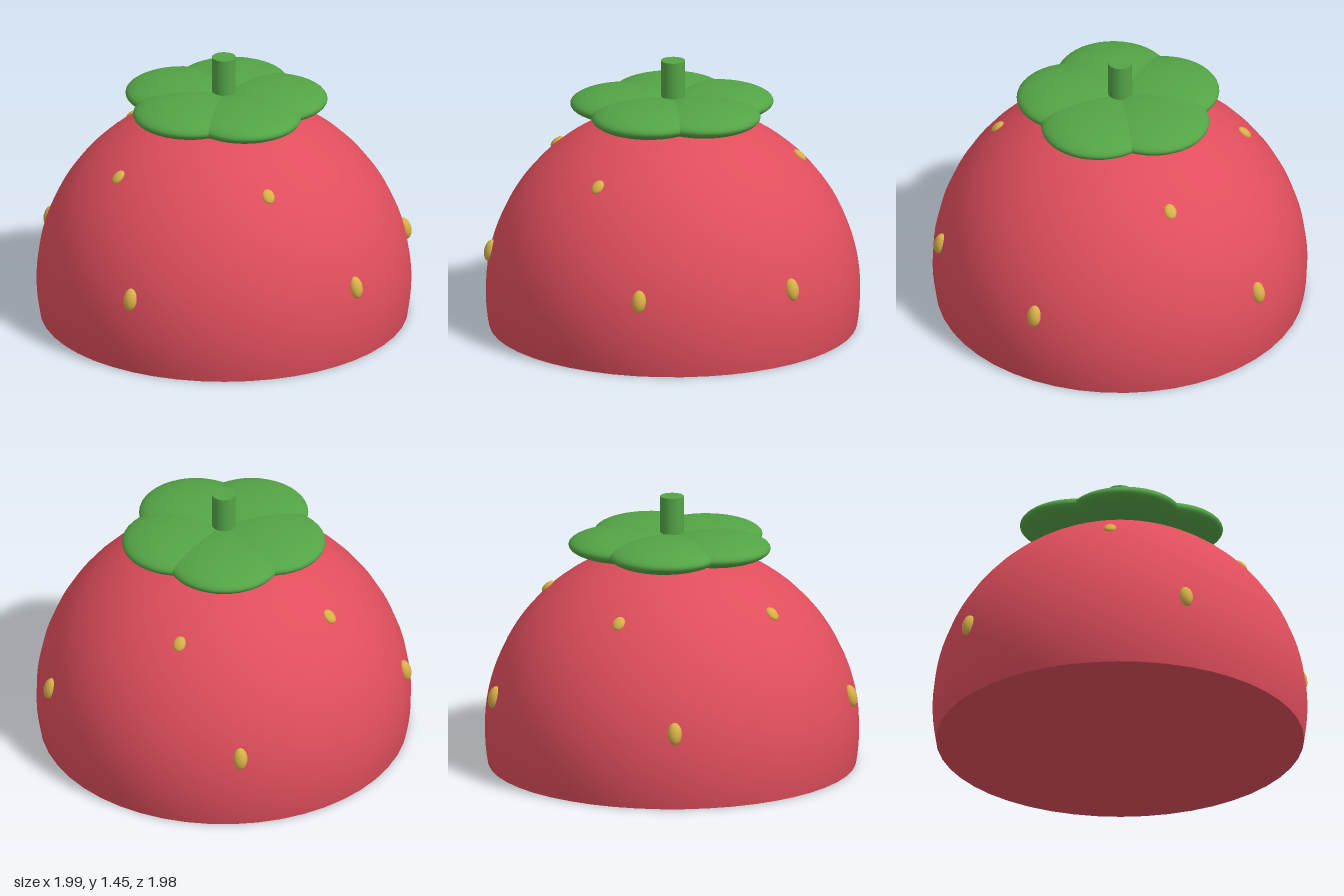
import * as THREE from 'three';

const CENTER_X = -0.01; // the berry axis; one seed sticks out on the left side
const RADIUS = 0.99;
const CENTER_Y = 0.186;

export function createModel() {
  const red = new THREE.MeshStandardMaterial({ color: 0xe04e5c });
  red.name = 'berry red';
  const green = new THREE.MeshStandardMaterial({ color: 0x54a446 });
  green.name = 'leaf green';
  const gold = new THREE.MeshStandardMaterial({ color: 0xd8b048 });
  gold.name = 'seed gold';

  const model = new THREE.Group();
  model.name = 'strawberry';
  const add = (name, geometry, material, x, y, z) => {
    const mesh = new THREE.Mesh(geometry, material);
    mesh.name = name;
    mesh.position.set(CENTER_X + x, y, z);
    model.add(mesh);
    return mesh;
  };

  // Dome: a sphere cut flat at the ground
  const cutAngle = Math.acos(-CENTER_Y / RADIUS);
  add('berryBody', new THREE.SphereGeometry(RADIUS, 48, 32, 0, Math.PI * 2, 0, cutAngle), red, 0, CENTER_Y, 0);
  const base = new THREE.CircleGeometry(RADIUS * Math.sin(cutAngle), 48);
  base.rotateX(Math.PI / 2);
  add('berryBase', base, red, 0, 0, 0);

  // Five flattened leaves overlapping around the stem
  const leafGeometry = new THREE.SphereGeometry(0.3, 40, 24).scale(1, 0.25, 1);
  for (let i = 0; i < 5; i++) {
    const a = (i / 5) * Math.PI * 2;
    add('leaf', leafGeometry, green, 0.25 * Math.cos(a), 1.196, 0.25 * Math.sin(a));
  }

  // Stem
  add('stem', new THREE.CylinderGeometry(0.063, 0.063, 0.3, 24), green, 0, 1.3, 0);

  // Seeds: two rows on a fourteen-step ring, each lying along the surface
  const seedGeometry = new THREE.SphereGeometry(1, 16, 12);
  const addSeed = (step, y, w, h, d) => {
    const a = (step / 14) * Math.PI * 2;
    const dy = y - CENTER_Y;
    const r = Math.sqrt(RADIUS * RADIUS - dy * dy);
    const x = r * Math.cos(a), z = r * Math.sin(a);
    const seed = add('seed', seedGeometry, gold, x, y, z);
    seed.scale.set(w, h, d);
    seed.lookAt(CENTER_X + 2 * x, y + dy, 2 * z);
  };
  for (const step of [0, 2, 5, 8, 11]) addSeed(step, 0.41, 0.038, 0.06, 0.034);
  for (const step of [3, 6, 9, 12]) addSeed(step, 0.916, 0.034, 0.042, 0.02);

  return model;
}
